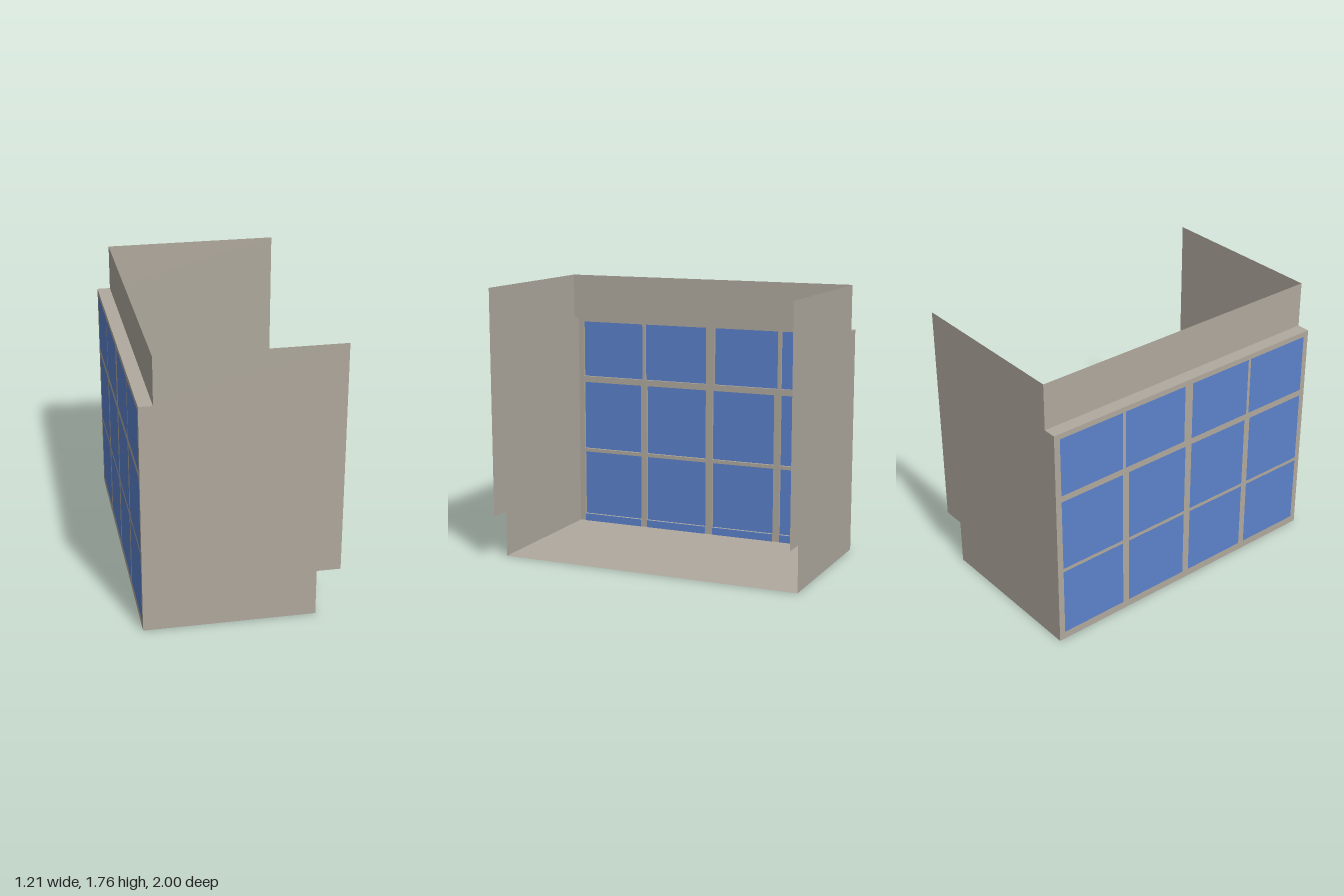
import * as THREE from 'three';

export function createModel() {
  const model = new THREE.Group();
  const wallMat = new THREE.MeshStandardMaterial({ color: 0xb0a99e, side: THREE.DoubleSide });
  wallMat.name = 'warm grey wall';
  const glassMat = new THREE.MeshStandardMaterial({ color: 0x5b82cb });
  glassMat.name = 'blue glass';

  const OUT = -0.605, INNER = -0.58, HEADER = -0.52;
  const LEDGE = 1.465, TOP = 1.76;

  const add = (geometry, material, name, x = 0, y = 0, z = 0, parent = model) => {
    const mesh = new THREE.Mesh(geometry, material);
    mesh.name = name;
    mesh.position.set(x, y, z);
    parent.add(mesh);
    return mesh;
  };

  // Notched end walls, single sheets at both ends
  const profile = new THREE.Shape([
    [OUT, 0], [0.455, 0], [0.455, 0.297], [0.603, 0.297],
    [0.603, TOP], [HEADER, TOP], [HEADER, LEDGE], [OUT, LEDGE],
  ].map(([x, y]) => new THREE.Vector2(x, y)));
  for (const side of [1, -1]) {
    add(new THREE.ShapeGeometry(profile), wallMat, side > 0 ? 'frontWall' : 'backWall', 0, 0, side);
  }

  // Floor, header panel and the ledge joining header to window frame
  const floor = add(new THREE.PlaneGeometry(0.455 - OUT, 2), wallMat, 'floor', (0.455 + OUT) / 2);
  floor.rotation.x = -Math.PI / 2;
  const header = add(new THREE.PlaneGeometry(2, TOP - LEDGE), wallMat, 'header', HEADER, (TOP + LEDGE) / 2);
  header.rotation.y = Math.PI / 2;
  const ledge = add(new THREE.PlaneGeometry(HEADER - OUT, 2), wallMat, 'ledge', (HEADER + OUT) / 2, LEDGE);
  ledge.rotation.x = -Math.PI / 2;

  // Window openings: y range and z ranges of each row
  const lowerSpans = [[0.52, 0.963], [0.033, 0.477], [-0.46, -0.015], [-0.96, -0.505]];
  const upperSpans = [[0.508, 0.963], [0.033, 0.488], [-0.482, -0.027], [-0.96, -0.505]];
  const rows = [
    { y: [0.05, 0.503], spans: lowerSpans },
    { y: [0.527, 1.003], spans: lowerSpans },
    { y: [1.045, 1.43], spans: upperSpans },
  ];

  const rect = (Type, z0, z1, y0, y1) => new Type([
    new THREE.Vector2(z0, y0), new THREE.Vector2(z1, y0),
    new THREE.Vector2(z1, y1), new THREE.Vector2(z0, y1),
  ]);
  const frame = rect(THREE.Shape, -1, 1, 0, LEDGE);
  const windows = new THREE.Group();
  windows.name = 'windowPanes';
  model.add(windows);

  for (const { y: [y0, y1], spans } of rows) {
    for (const [z0, z1] of spans) {
      frame.holes.push(rect(THREE.Path, z0, z1, y0, y1));
      // Thin pane, flush with the outside of the frame
      add(new THREE.BoxGeometry(0.006, y1 - y0, z1 - z0), glassMat, 'pane',
        OUT + 0.003, (y0 + y1) / 2, (z0 + z1) / 2, windows);
    }
  }
  const frameGeometry = new THREE.ExtrudeGeometry(frame, { depth: INNER - OUT, bevelEnabled: false });
  frameGeometry.rotateY(-Math.PI / 2);
  add(frameGeometry, wallMat, 'windowFrame', INNER);

  // Blue strips on the inside of the bottom rail
  for (const [z0, z1] of lowerSpans) {
    add(new THREE.BoxGeometry(0.004, 0.05, z1 - z0 - 0.006), glassMat, 'sillStrip',
      INNER + 0.002, 0.025, (z0 + z1) / 2, windows);
  }
  return model;
}
